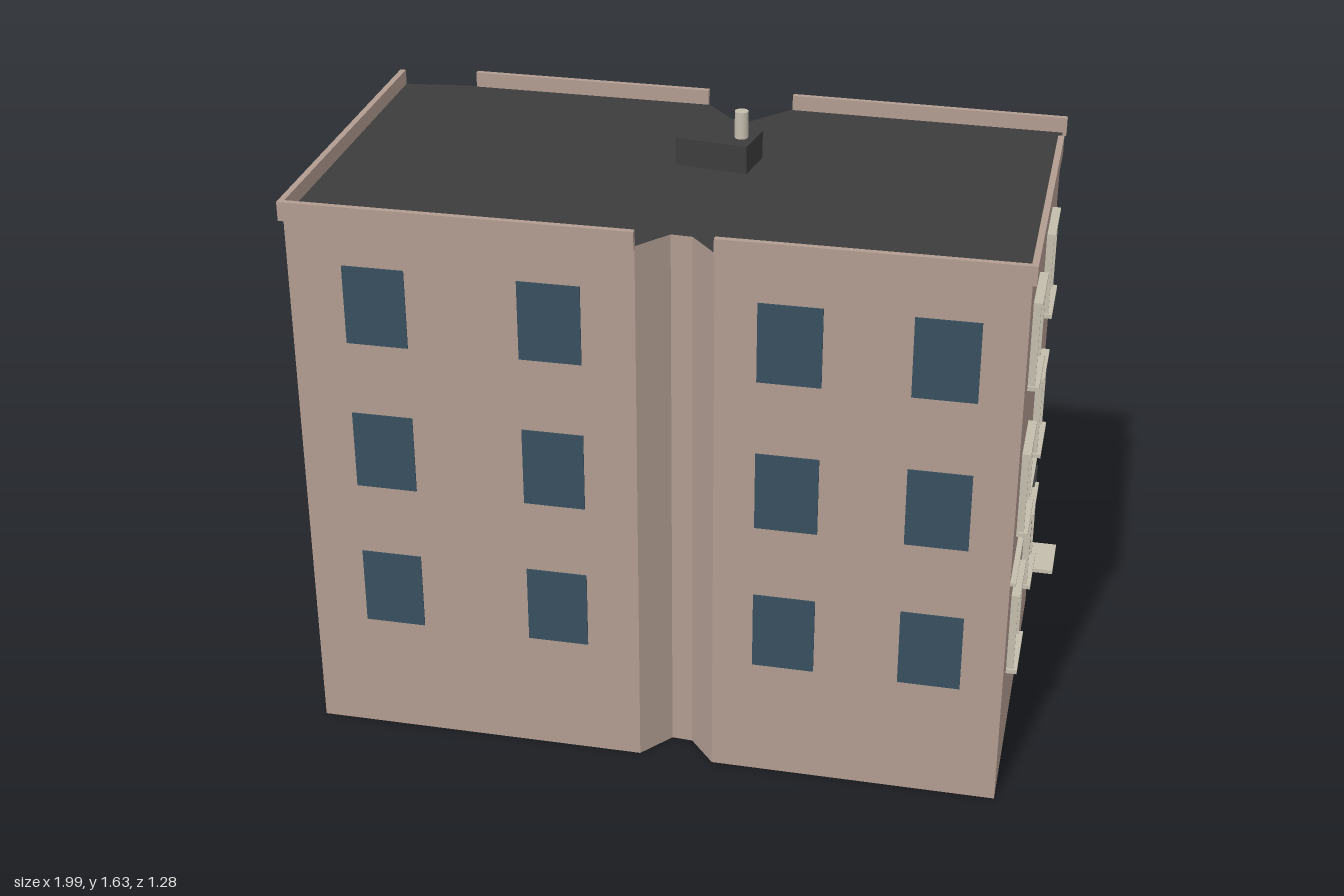
import * as THREE from 'three';

const paint = (name, color) => {
  const m = new THREE.MeshStandardMaterial({ color });
  m.name = name;
  return m;
};

export function createModel() {
  const wallMat = paint('wall', 0xb19c90);
  const roofMat = paint('roof', 0x3c3c3c);
  const glassMat = paint('darkGlass', 0x384f5e);
  const skyMat = paint('paleGlass', 0x7b90a3);
  const trimMat = paint('trim', 0xc3bdad);

  const building = new THREE.Group();
  building.name = 'building';

  // Box placed by its centre
  const box = (parent, name, mat, w, h, d, x, y, z) => {
    const mesh = new THREE.Mesh(new THREE.BoxGeometry(w, h, d), mat);
    mesh.name = name;
    mesh.position.set(x, y, z);
    parent.add(mesh);
    return mesh;
  };

  // Footprint corners as [x, z], with a light-well notch front and back
  const plan = [
    [-0.83, 0.625], [0.045, 0.487], [0.1, 0.39], [0.155, 0.385], [0.238, 0.457],
    [0.98, 0.343], [0.83, -0.627], [0.1, -0.533], [0.02, -0.402], [-0.03, -0.402],
    [-0.13, -0.49], [-0.79, -0.395], [-0.99, -0.34],
  ];
  const outline = new THREE.Shape(plan.map(([x, z]) => new THREE.Vector2(x, -z)));
  const bodyGeo = new THREE.ExtrudeGeometry(outline, { depth: 1.48, bevelEnabled: false });
  bodyGeo.rotateX(-Math.PI / 2);
  const body = new THREE.Mesh(bodyGeo, [roofMat, wallMat]);
  body.name = 'body';
  building.add(body);

  // Wall group: local x runs along the wall from its first corner, local z points outward
  const wall = (name, i) => {
    const [ax, az] = plan[i];
    const [bx, bz] = plan[(i + 1) % plan.length];
    const g = new THREE.Group();
    g.name = name;
    g.position.set(ax, 0, az);
    g.rotation.y = Math.atan2(az - bz, bx - ax);
    g.userData.length = Math.hypot(bx - ax, bz - az);
    building.add(g);
    return g;
  };

  const parapet = (g, from, to) =>
    box(g, 'parapet', wallMat, to - from, 0.05, 0.016, (from + to) / 2, 1.496, 0.003);

  const rows = [0.435, 0.845, 1.255];

  // Plain walls: flush panes at given fractions of the length
  const plainWalls = [
    ['frontLeftWall', 0, [0.25, 0.755], rows, 0.01, 0],
    ['frontRightWall', 4, [0.247, 0.75], rows, 0, 0.01],
    ['backRightWall', 6, [0.24, 0.745], rows.slice(1), 0.01, 0],
    ['backLeftWall', 10, [0.5], rows, 0, 0],
    ['sideWall', 12, [0.245, 0.745], rows, 0, 0.01],
  ];
  for (const [name, i, spots, levels, before, after] of plainWalls) {
    const g = wall(name, i);
    const len = g.userData.length;
    for (const t of spots)
      for (const y of levels)
        box(g, 'windowPane', glassMat, 0.16, 0.212, 0.004, t * len, y, 0.001);
    parapet(g, -before, len + after);
  }

  // Entrance wall with framed sash windows
  const entrance = wall('entranceWall', 5);
  parapet(entrance, -0.01, 0.845);

  const sashWindow = (x, y, upperMat) => {
    const w = new THREE.Group();
    w.name = 'sashWindow';
    w.position.set(x, y, 0);
    box(w, 'lowerGlass', glassMat, 0.166, 0.212, 0.004, 0, 0, 0.001);
    box(w, 'upperGlass', upperMat, 0.152, 0.088, 0.004, 0, 0.06, 0.003);
    for (const s of [-1, 1]) box(w, 'jamb', trimMat, 0.011, 0.22, 0.018, s * 0.083, 0, 0.009);
    box(w, 'head', trimMat, 0.184, 0.011, 0.022, 0, 0.11, 0.011);
    box(w, 'sill', trimMat, 0.19, 0.011, 0.028, 0, -0.112, 0.014);
    box(w, 'bottomRail', trimMat, 0.16, 0.007, 0.01, 0, -0.102, 0.005);
    box(w, 'meetingRail', trimMat, 0.16, 0.007, 0.011, 0, 0.008, 0.0055);
    box(w, 'mullion', trimMat, 0.007, 0.21, 0.01, 0, 0, 0.005);
    entrance.add(w);
  };
  for (const x of [0.208, 0.628])
    rows.forEach((y, i) => sashWindow(x, y, i === 2 ? wallMat : skyMat));

  // String course, door and doorstep
  box(entrance, 'stringCourse', trimMat, 0.84, 0.009, 0.014, 0.42, 0.655, 0.007);
  box(entrance, 'door', roofMat, 0.122, 0.265, 0.012, 0.751, 0.421, 0.006);
  box(entrance, 'doorGlass', glassMat, 0.066, 0.145, 0.004, 0.754, 0.448, 0.012);
  box(entrance, 'doorstep', trimMat, 0.145, 0.011, 0.08, 0.752, 0.29, 0.04);

  // Roof hatch with vent pipe
  box(building, 'roofHatch', roofMat, 0.195, 0.08, 0.125, 0.043, 1.514, -0.102);
  const pipe = new THREE.Mesh(new THREE.CylinderGeometry(0.018, 0.018, 0.075, 12), trimMat);
  pipe.name = 'ventPipe';
  pipe.position.set(0.104, 1.588, -0.102);
  building.add(pipe);

  return building;
}
